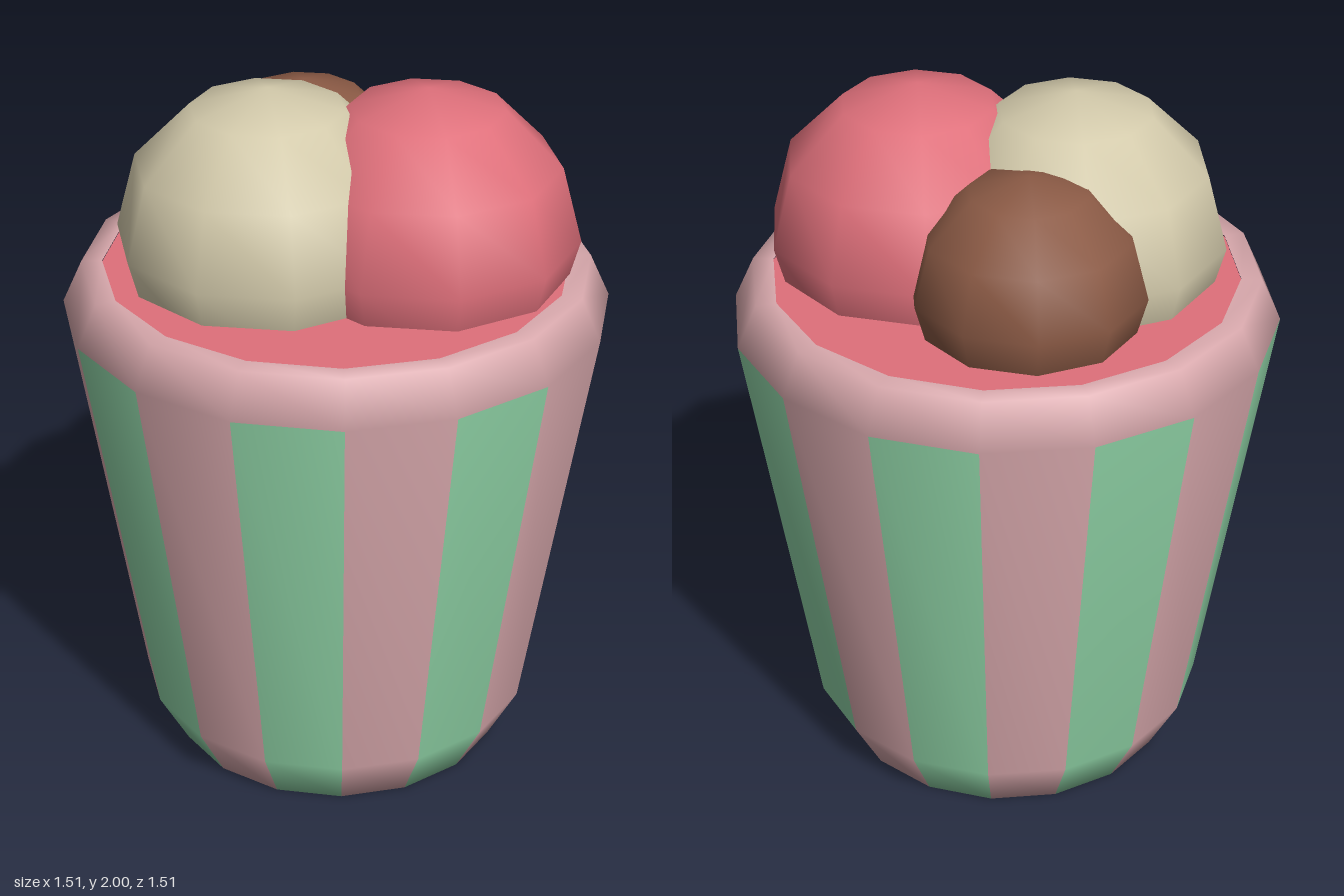
import * as THREE from 'three';

const material = (name, color) => {
  const m = new THREE.MeshStandardMaterial({ color });
  m.name = name;
  return m;
};

export function createModel() {
  const pink = material('pale pink', 0xd9a9ad);
  const green = material('mint green', 0x8fd3a6);
  const red = material('strawberry', 0xdf707b);
  const cream = material('vanilla', 0xd3caab);
  const brown = material('chocolate', 0x8b5a45);

  const model = new THREE.Group();
  model.name = 'iceCreamCup';
  const add = (name, geometry, mat) => {
    const mesh = new THREE.Mesh(geometry, mat);
    mesh.name = name;
    model.add(mesh);
    return mesh;
  };

  // Cup: 16-sided turned profile, from the base centre up to the inner lip
  const SIDES = 16;
  const profile = [[0, 0], [0.48, 0], [0.565, 0.16], [0.755, 1.36], [0.7, 1.48], [0.643, 1.48]];
  const cup = new THREE.LatheGeometry(profile.map(([r, y]) => new THREE.Vector2(r, y)), SIDES);

  // Stripes: every second side is green on the foot and wall bands
  const bands = profile.length - 1;
  for (let side = 0; side < SIDES; side++) {
    const start = side * bands * 6;
    cup.addGroup(start, 6, 0);
    cup.addGroup(start + 6, 12, side % 2);
    cup.addGroup(start + 18, 12, 0);
  }
  add('stripedCup', cup, [pink, green]);

  // Flat filling inside the rim
  const filling = new THREE.CircleGeometry(0.643, SIDES).rotateX(-Math.PI / 2);
  add('filling', filling, red).position.y = 1.478;

  // Scoops: low-segment smooth balls sunk into the filling
  const scoops = [
    ['strawberryScoop', 0.42, 0.13, 0.21, red],
    ['vanillaScoop', 0.42, -0.16, -0.1, cream],
    ['chocolateScoop', 0.32, 0.13, -0.25, brown],
  ];
  for (const [name, radius, x, z, mat] of scoops) {
    const ball = new THREE.SphereGeometry(radius, 10, 6).rotateY(Math.PI / 2);
    add(name, ball, mat).position.set(x, 1.58, z);
  }

  return model;
}
